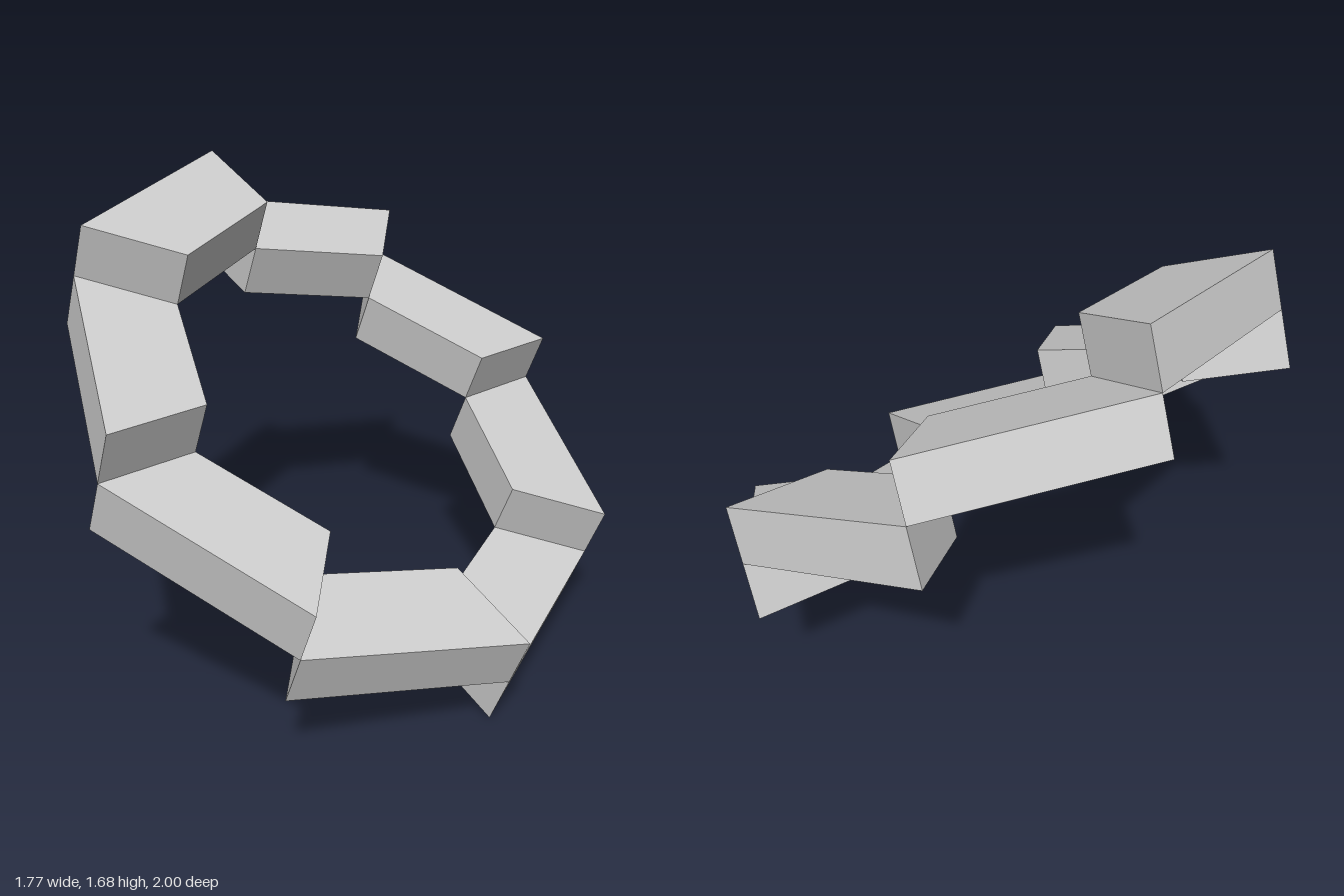
import * as THREE from 'three';

const OUTER = 1, INNER = 0.65, THICK = 0.197, TILT = Math.PI / 8;

// One eighth of an octagonal ring, lying flat, starting at angle a
function wedgeGeometry(a) {
  const b = a + Math.PI / 4;
  const at = (r, t) => new THREE.Vector2(r * Math.cos(t), -r * Math.sin(t));
  const shape = new THREE.Shape([at(INNER, a), at(OUTER, a), at(OUTER, b), at(INNER, b)]);
  const geo = new THREE.ExtrudeGeometry(shape, { depth: THICK, bevelEnabled: false });
  return geo.rotateX(-Math.PI / 2);
}

export function createModel() {
  const model = new THREE.Group();
  model.name = 'steppedOctagonRing';
  const material = new THREE.MeshStandardMaterial({ color: 0xcccccc, flatShading: true });

  // Tilted ring whose blocks climb both sides from the lowest to the highest
  const ring = new THREE.Group();
  ring.name = 'tiltedRing';
  ring.rotation.z = -TILT;
  ring.position.y = OUTER * Math.sin(TILT) + 2.5 * THICK * Math.cos(TILT);
  model.add(ring);

  const levels = [1, 2, 3, 4, 3, 2, 1, 0];
  levels.forEach((level, k) => {
    const block = new THREE.Mesh(wedgeGeometry(k * Math.PI / 4), material);
    block.name = `ringBlock${k + 1}`;
    block.position.y = (level - 2.5) * THICK;
    ring.add(block);
  });
  return model;
}
